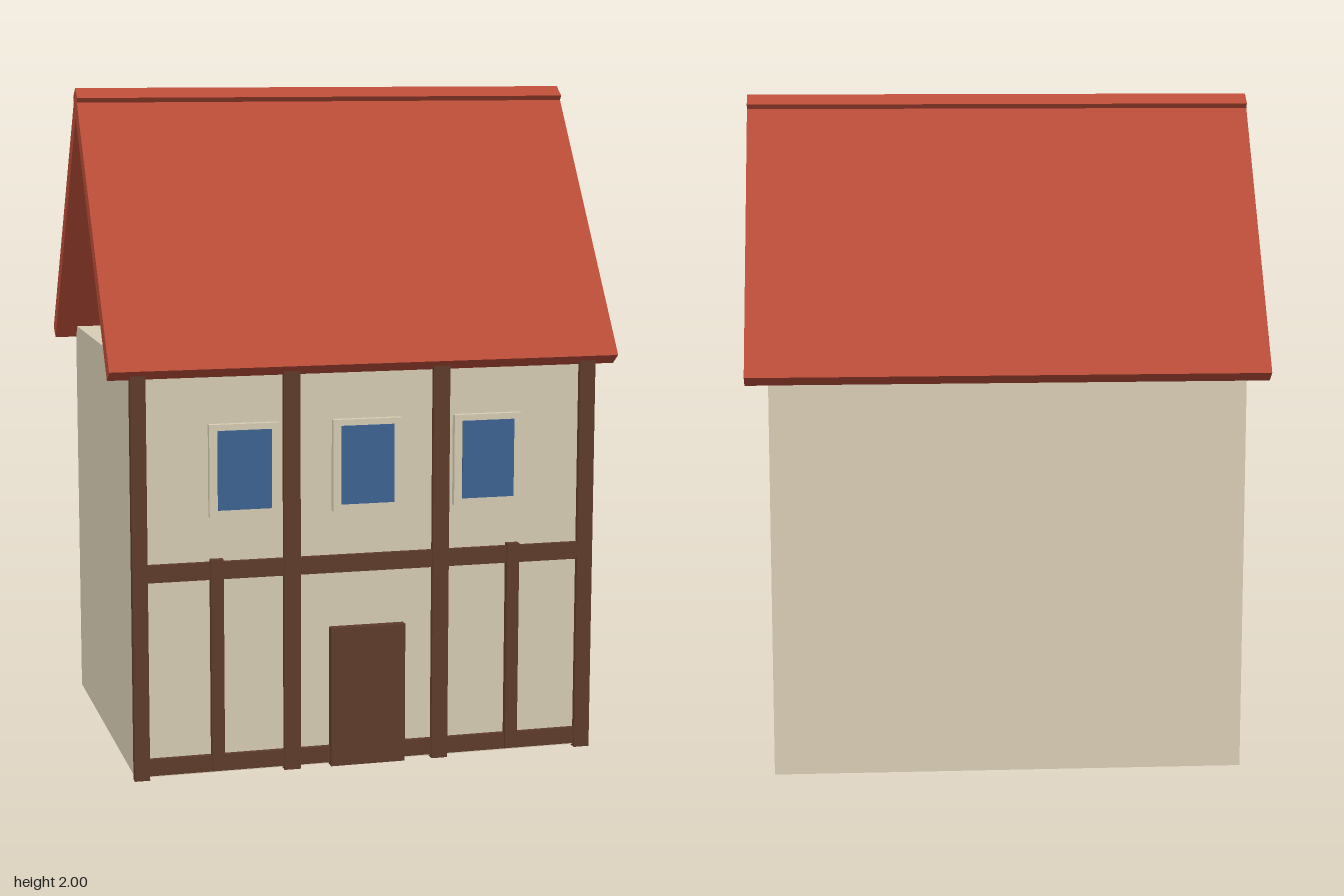
import * as THREE from 'three';

export function createModel() {
  const house = new THREE.Group();
  house.name = 'house';

  const material = (name, color) => {
    const m = new THREE.MeshStandardMaterial({ color });
    m.name = name;
    return m;
  };
  const plaster = material('plaster', 0xd8cdb4);
  const timber = material('timber', 0x603c2c);
  const tile = material('roof tile', 0xb84c38);
  const glass = material('window glass', 0x3f6394);

  // Box given by its limits on each axis
  const block = (name, mat, x0, x1, y0, y1, z0, z1) => {
    const mesh = new THREE.Mesh(new THREE.BoxGeometry(x1 - x0, y1 - y0, z1 - z0), mat);
    mesh.position.set((x0 + x1) / 2, (y0 + y1) / 2, (z0 + z1) / 2);
    mesh.name = name;
    house.add(mesh);
    return mesh;
  };

  // Plastered walls
  const front = 0.523;
  block('walls', plaster, -0.7, 0.7, 0.005, 1.22, -front, front);

  // Front timber frame: main posts, thin lower posts and rails
  for (const [x0, x1] of [[-0.705, -0.66], [-0.255, -0.205], [0.2, 0.25], [0.657, 0.705]])
    block('mainPost', timber, x0, x1, 0, 1.2, front - 0.01, 0.54);
  for (const [x0, x1] of [[-0.475, -0.437], [0.432, 0.47]])
    block('thinPost', timber, x0, x1, 0.015, 0.65, front - 0.01, 0.545);
  for (const [y0, y1] of [[0.012, 0.062], [0.59, 0.642]])
    block('rail', timber, -0.7, 0.7, y0, y1, front - 0.01, 0.537);

  // Door
  block('door', timber, -0.115, 0.113, 0.003, 0.425, front - 0.01, 0.55);

  // Windows: a plaster surround with a raised pane
  for (const x of [-0.373, -0.003, 0.368]) {
    block('windowSurround', plaster, x - 0.104, x + 0.104, 0.775, 1.047, front - 0.01, 0.543);
    block('windowPane', glass, x - 0.08, x + 0.08, 0.796, 1.029, 0.54, 0.549);
  }

  // Two roof slabs crossing at the ridge, open at the gables
  const eave = new THREE.Vector2(0.563, 1.212);
  const ridge = new THREE.Vector2(0, 2);
  const length = eave.distanceTo(ridge);
  const thickness = 0.05;
  const pitch = Math.atan2(ridge.y - eave.y, eave.x);
  for (const side of [1, -1]) {
    const slab = new THREE.Mesh(new THREE.BoxGeometry(1.536, thickness, length), tile);
    slab.position.set(
      0,
      (eave.y + ridge.y) / 2 - Math.cos(pitch) * thickness / 2,
      side * (eave.x / 2 - Math.sin(pitch) * thickness / 2)
    );
    slab.rotation.x = side * pitch;
    slab.name = side > 0 ? 'frontRoofSlab' : 'backRoofSlab';
    house.add(slab);
  }

  return house;
}
